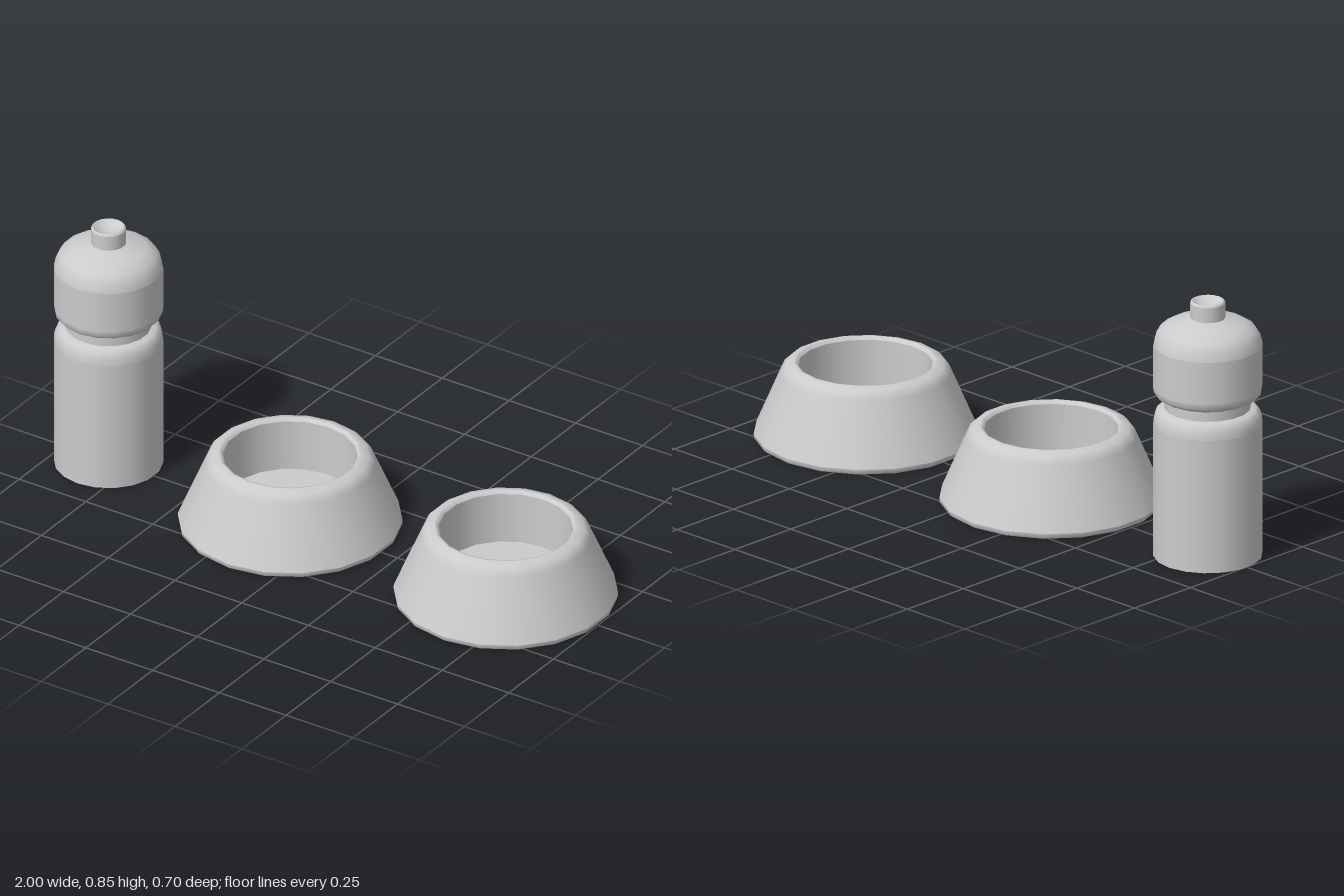
import * as THREE from 'three';
import { mergeGeometries } from 'three/addons/utils/BufferGeometryUtils.js';

const SIDES = 18;
const material = new THREE.MeshStandardMaterial({ color: 0xcccccc });

// Turned part: each profile run is smooth, with a hard edge between runs.
function turned(name, runs) {
  const parts = runs.map((run) =>
    new THREE.LatheGeometry(run.map(([r, y]) => new THREE.Vector2(r, y)), SIDES));
  const mesh = new THREE.Mesh(mergeGeometries(parts), material);
  mesh.name = name;
  return mesh;
}

// Bowl: sloping outside, rounded rim, straight well with a flat floor
function makeBowl(name, x) {
  const bowl = new THREE.Group();
  bowl.name = name;
  bowl.add(
    turned('bowlShell', [
      [[0, 0], [0.343, 0]],
      [[0.343, 0], [0.35, 0.006], [0.351, 0.018]],
      [[0.351, 0.018], [0.267, 0.215], [0.26, 0.23], [0.247, 0.242], [0.225, 0.25], [0.217, 0.249], [0.21, 0.24]],
    ]),
    turned('bowlWell', [
      [[0.21, 0.24], [0.208, 0.07]],
      [[0.208, 0.07], [0, 0.07]],
    ]),
  );
  bowl.position.x = x;
  return bowl;
}

// Bottle: body, narrow neck, domed cap and dished nozzle
function makeBottle(x) {
  const bottle = new THREE.Group();
  bottle.name = 'bottle';
  bottle.add(
    turned('bottleBody', [
      [[0, 0], [0.171, 0]],
      [[0.171, 0], [0.171, 0.44]],
      [[0.171, 0.44], [0.169, 0.46], [0.163, 0.477], [0.152, 0.488], [0.135, 0.491]],
    ]),
    turned('bottleNeck', [[[0.135, 0.487], [0.135, 0.528]]]),
    turned('bottleCap', [
      [[0.13, 0.525], [0.145, 0.526], [0.16, 0.534], [0.169, 0.544], [0.171, 0.56]],
      [[0.171, 0.56], [0.171, 0.7]],
      [[0.171, 0.7], [0.165, 0.727], [0.15, 0.752], [0.12, 0.77], [0.055, 0.789], [0.05, 0.79]],
    ]),
    turned('bottleNozzle', [
      [[0.055, 0.785], [0.055, 0.838]],
      [[0.055, 0.838], [0.053, 0.843], [0.049, 0.845]],
      [[0.049, 0.845], [0.035, 0.834], [0.018, 0.828], [0, 0.826]],
    ]),
  );
  bottle.position.x = x;
  return bottle;
}

export function createModel() {
  const model = new THREE.Group();
  model.name = 'bowlsAndBottle';
  model.add(makeBottle(-0.832), makeBowl('middleBowl', -0.152), makeBowl('leftBowl', 0.655));
  return model;
}
